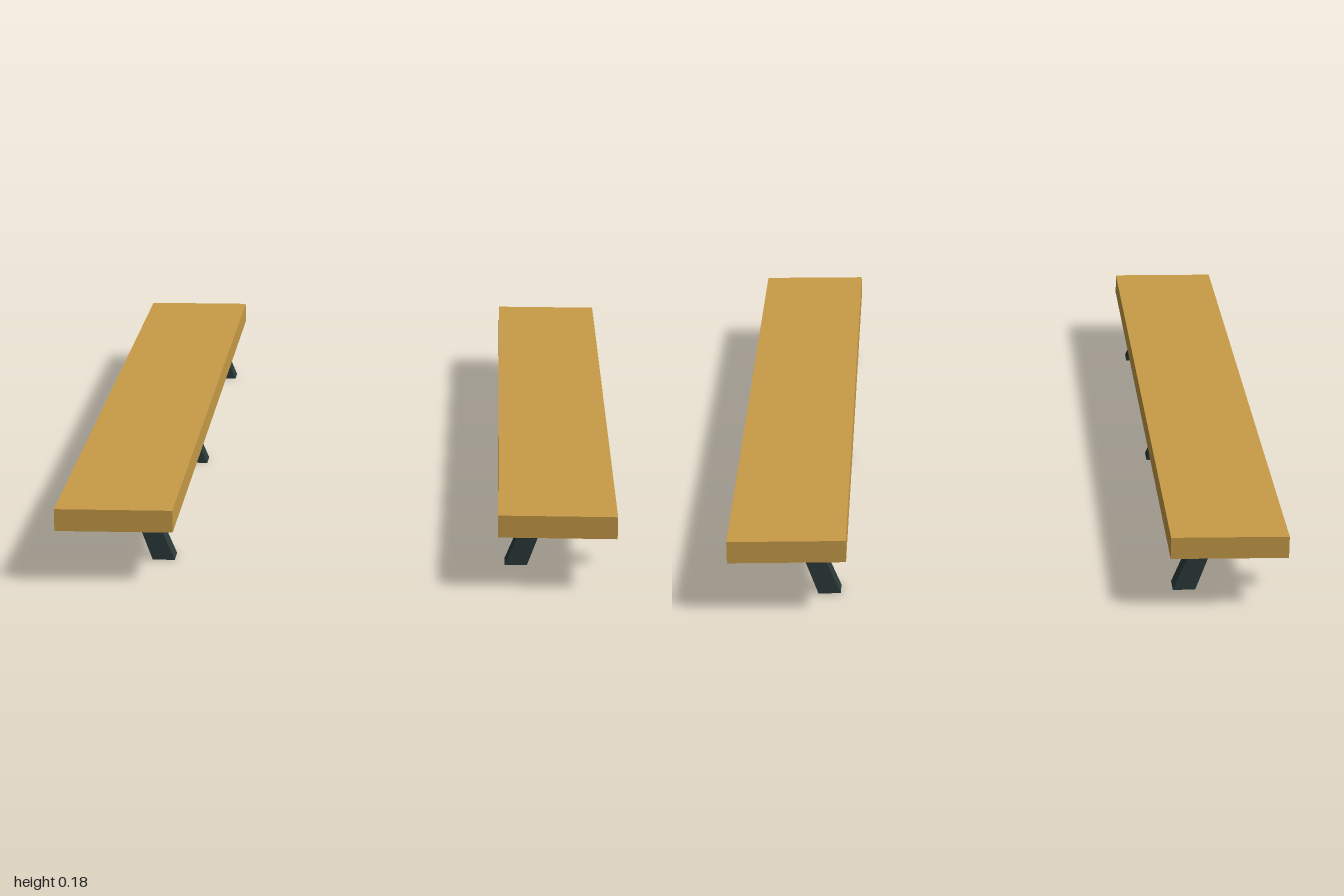
import * as THREE from 'three';

export function createModel() {
  const wood = new THREE.MeshStandardMaterial({ name: 'wood', color: 0xc99c48 });
  const steel = new THREE.MeshStandardMaterial({ name: 'dark steel', color: 0x2c3a3a });
  const group = new THREE.Group();
  group.name = 'benchPair';

  const add = (parent, name, geometry, material, x, y, z) => {
    const mesh = new THREE.Mesh(geometry, material);
    mesh.name = name;
    mesh.position.set(x, y, z);
    parent.add(mesh);
  };

  const width = 0.052;
  const plankGeo = new THREE.BoxGeometry(0.27, 0.052, 2);
  const armGeo = new THREE.BoxGeometry(0.252, 0.048, width);

  // Slanted leg, mirrored by the sign of its side
  const legGeo = (side) => {
    const points = [[0.386, 0], [0.438, 0], [0.467, 0.081], [0.419, 0.081]];
    const shape = new THREE.Shape(points.map(([x, y]) => new THREE.Vector2(side * x, y)));
    return new THREE.ExtrudeGeometry(shape, { depth: width, bevelEnabled: false }).translate(0, 0, -width / 2);
  };

  for (const [side, label] of [[1, 'left'], [-1, 'right']]) {
    const bench = new THREE.Group();
    bench.name = label + 'Bench';
    add(bench, 'seatPlank', plankGeo, wood, side * 0.504, 0.154, 0);

    // Three brackets, each a level arm on a slanted leg
    const leg = legGeo(side);
    for (const z of [0.787, -0.007, -0.855]) {
      const bracket = new THREE.Group();
      bracket.name = 'bracket';
      bracket.position.z = z;
      add(bracket, 'arm', armGeo, steel, side * 0.519, 0.104, 0);
      add(bracket, 'leg', leg, steel, 0, 0, 0);
      bench.add(bracket);
    }
    group.add(bench);
  }
  return group;
}
